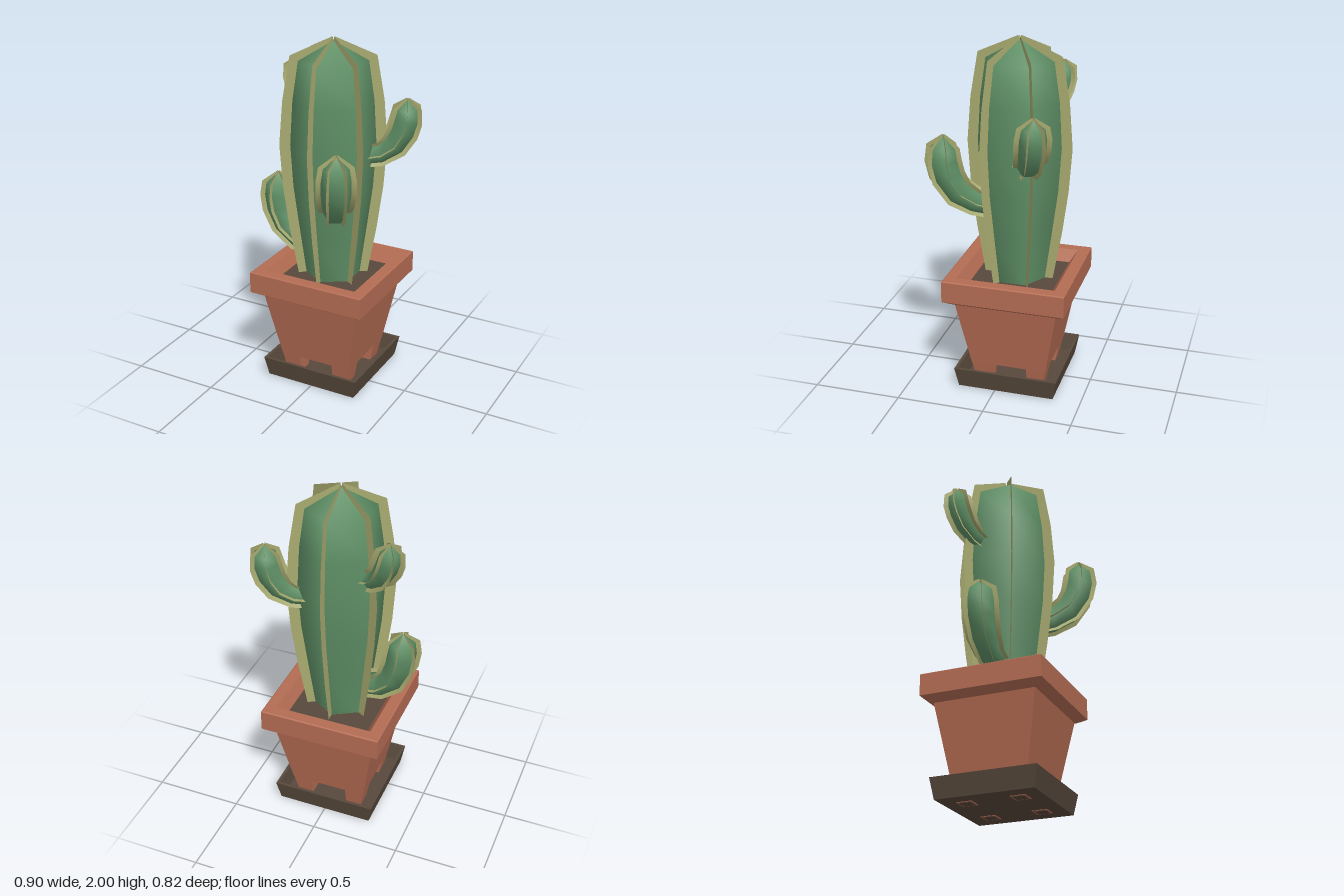
import * as THREE from 'three';

const mat = (name, color, side = THREE.FrontSide) => {
  const m = new THREE.MeshStandardMaterial({ color, side });
  m.name = name;
  return m;
};

const AXIS_Z = -0.065; // plant and pot share this vertical axis
const UP = new THREE.Vector3(0, 1, 0);

function mesh(name, geometry, material) {
  const m = new THREE.Mesh(geometry, material);
  m.name = name;
  return m;
}

// Square, flat-faced solid from a profile of [half width, height]
function squareLathe(profile) {
  const pts = profile.map(([h, y]) => new THREE.Vector2(h * Math.SQRT2, y));
  const g = new THREE.LatheGeometry(pts, 4, Math.PI / 4).toNonIndexed();
  g.computeVertexNormals();
  return g;
}

function surface(positions, index) {
  const g = new THREE.BufferGeometry();
  g.setAttribute('position', new THREE.Float32BufferAttribute(positions, 3));
  g.setIndex(index);
  g.computeVertexNormals();
  return g;
}

// Six-sided stem swept along a path of [distance from axis, height] lying in
// the vertical plane at the given heading, with a thin fin on every corner.
// rows: [path fraction, stem radius, fin radius, fin lift]
function stem(name, heading, path, rows, skin, finMat) {
  const out = new THREE.Vector3(Math.cos(heading), 0, Math.sin(heading));
  const curve = new THREE.CatmullRomCurve3(
    path.map(([d, y]) => out.clone().multiplyScalar(d).setY(y)));
  const side = UP.clone().cross(out);
  const skinPos = [], skinIdx = [];
  const fins = Array.from({ length: 6 }, () => []);
  rows.forEach(([t, r, finR, lift], i) => {
    const centre = curve.getPointAt(t);
    const tangent = curve.getTangentAt(t);
    const normal = side.clone().cross(tangent);
    for (let k = 0; k < 6; k++) {
      const a = Math.PI / 6 + k * Math.PI / 3;
      const dir = normal.clone().multiplyScalar(Math.cos(a)).addScaledVector(side, Math.sin(a));
      const p = centre.clone().addScaledVector(dir, r);
      const q = centre.clone().addScaledVector(dir, finR).addScaledVector(tangent, lift);
      skinPos.push(...p);
      fins[k].push(...p, ...q);
      if (i < rows.length - 1) {
        const a0 = i * 6 + k, b0 = i * 6 + (k + 1) % 6;
        skinIdx.push(a0, b0, a0 + 6, b0, b0 + 6, a0 + 6);
      }
    }
  });
  const group = new THREE.Group();
  group.name = name;
  group.add(mesh(name + 'Skin', surface(skinPos, skinIdx), skin));
  const finIdx = [];
  for (let i = 0; i < rows.length - 1; i++) {
    const j = i * 2;
    finIdx.push(j, j + 1, j + 2, j + 1, j + 3, j + 2);
  }
  fins.forEach((f) => group.add(mesh(name + 'Fin', surface(f, finIdx), finMat)));
  return group;
}

export function createModel() {
  const terracotta = mat('terracotta', 0xb46c53);
  const darkBrown = mat('dark brown', 0x57483b);
  const green = mat('cactus green', 0x5f9066);
  const olive = mat('olive fin', 0xa8aa70, THREE.DoubleSide);

  const model = new THREE.Group();
  model.name = 'pottedCactus';
  model.position.z = AXIS_Z;

  // Saucer with sloping walls
  model.add(mesh('saucer', squareLathe([
    [0, 0.004], [0.277, 0.004], [0.298, 0.12], [0.28, 0.12], [0.258, 0.03], [0, 0.03],
  ]), darkBrown));

  // Pot: tapered walls, wide rim, inner slope
  model.add(mesh('pot', squareLathe([
    [0, 0.135], [0.218, 0.135], [0.29, 0.53], [0.3, 0.53], [0.347, 0.56],
    [0.347, 0.68], [0.34, 0.685], [0.28, 0.685], [0.235, 0.615],
  ]), terracotta));
  const soil = new THREE.PlaneGeometry(0.475, 0.475).rotateX(-Math.PI / 2);
  const soilMesh = mesh('soil', soil, darkBrown);
  soilMesh.position.y = 0.62;
  model.add(soilMesh);

  // Four feet continuing the wall slope, with dark hollows underneath
  for (const sx of [-1, 1]) for (const sz of [-1, 1]) {
    const foot = new THREE.BoxGeometry(1, 0.138, 1);
    const p = foot.attributes.position;
    for (let i = 0; i < p.count; i++) {
      const outer = p.getY(i) > 0 ? 0.218 : 0.192;
      p.setX(i, p.getX(i) * sx > 0 ? sx * outer : sx * 0.105);
      p.setZ(i, p.getZ(i) * sz > 0 ? sz * outer : sz * 0.105);
    }
    foot.computeVertexNormals();
    const footMesh = mesh('potFoot', foot, terracotta);
    footMesh.position.y = 0.071;
    const hollow = mesh('footHollow', new THREE.BoxGeometry(0.066, 0.003, 0.066), darkBrown);
    hollow.position.set(sx * 0.149, 0.0015, sz * 0.149);
    model.add(footMesh, hollow);
  }

  // Main trunk
  const height = (y) => (y - 0.6) / 1.38;
  model.add(stem('trunk', 0, [[0, 0.6], [0, 1.06], [0, 1.52], [0, 1.98]], [
    [0, 0.15, 0.195, 0],
    [height(0.9), 0.19, 0.247, 0],
    [height(1.15), 0.222, 0.28, 0],
    [height(1.4), 0.237, 0.297, 0],
    [height(1.65), 0.222, 0.277, 0],
    [height(1.87), 0.19, 0.234, 0.03],
    [1, 0, 0.01, 0.02],
  ], green, olive));

  // Arms: heading in degrees from +x towards +z, fin radius, path
  const arms = [
    ['frontArm', 60, 0.108, [[0.15, 1.06], [0.28, 1.11], [0.37, 1.19], [0.42, 1.32], [0.42, 1.48]]],
    ['lowerRightArm', 180, 0.11, [[0.12, 0.775], [0.21, 0.79], [0.29, 0.85], [0.345, 0.98], [0.355, 1.17]]],
    ['upperRightArm', 206.5, 0.088, [[0.17, 1.52], [0.27, 1.56], [0.325, 1.63], [0.36, 1.72], [0.365, 1.8]]],
    ['leftArm', -25.7, 0.1, [[0.17, 1.34], [0.29, 1.37], [0.36, 1.45], [0.395, 1.55], [0.4, 1.66]]],
  ];
  const swell = [[0, 0.72], [0.2, 0.8], [0.4, 0.92], [0.6, 1], [0.75, 1], [0.88, 0.87]];
  for (const [name, degrees, finR, path] of arms) {
    const rows = swell.map(([t, s]) => [t, (finR - 0.028) * s, finR * s, t > 0.8 ? 0.012 : 0]);
    rows.push([1, 0, 0.006, 0.01]);
    model.add(stem(name, THREE.MathUtils.degToRad(degrees), path, rows, green, olive));
  }

  const root = new THREE.Group();
  root.name = 'cactusInPot';
  root.add(model);
  return root;
}
